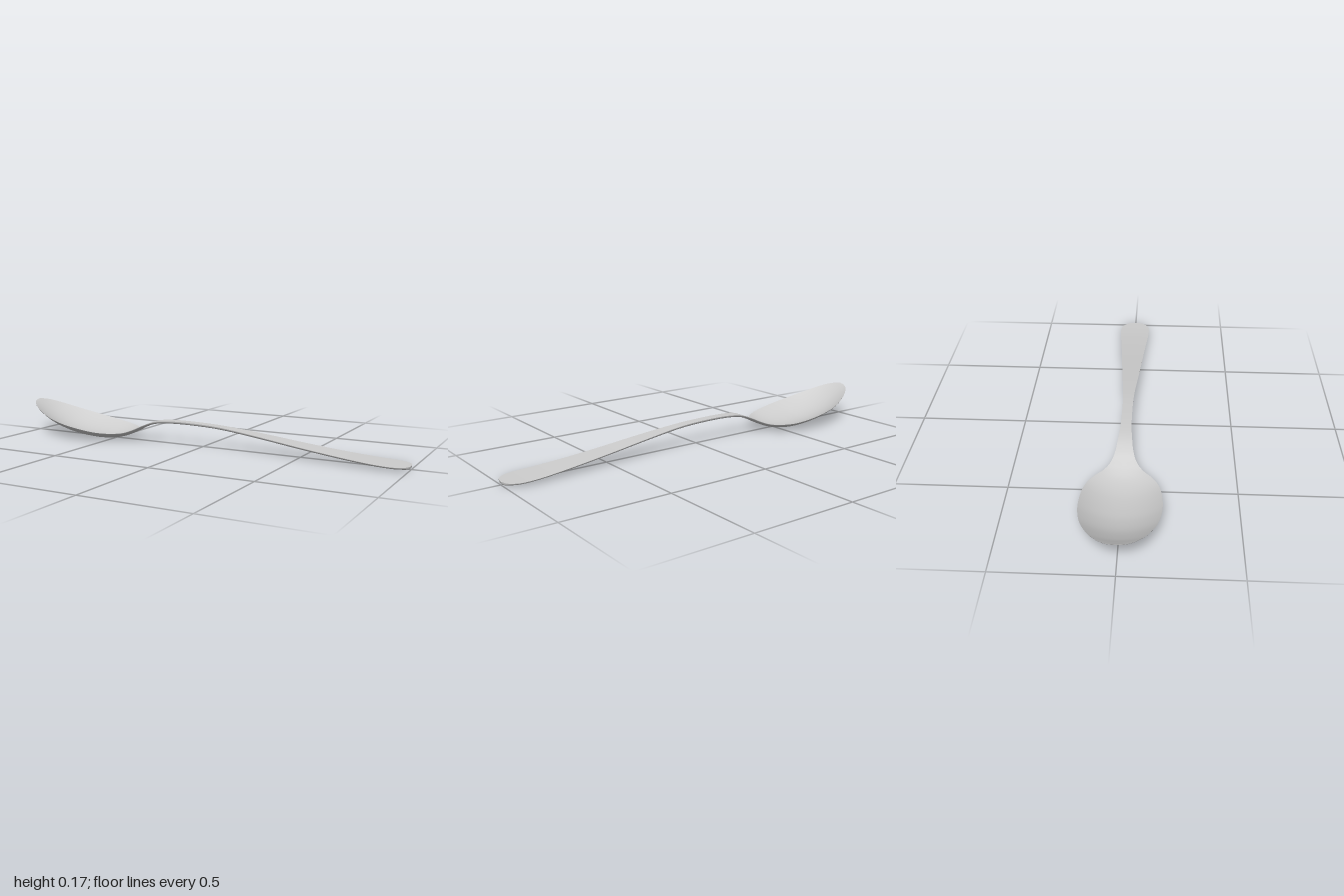
import * as THREE from 'three';

// Stations along the spoon: x, half width, rim height, centre height, thickness
const stations = [
  [-1.0, 0.0, 0.166, 0.166, 0.0],
  [-0.99, 0.038, 0.161, 0.16, 0.004],
  [-0.96, 0.077, 0.149, 0.139, 0.006],
  [-0.9, 0.118, 0.126, 0.099, 0.007],
  [-0.81, 0.155, 0.098, 0.053, 0.008],
  [-0.72, 0.172, 0.078, 0.025, 0.008],
  [-0.64, 0.175, 0.064, 0.013, 0.008],
  [-0.56, 0.168, 0.052, 0.008, 0.008],
  [-0.5, 0.152, 0.045, 0.011, 0.008],
  [-0.45, 0.122, 0.042, 0.02, 0.008],
  [-0.41, 0.086, 0.043, 0.035, 0.008],
  [-0.37, 0.057, 0.057, 0.055, 0.009],
  [-0.32, 0.04, 0.081, 0.081, 0.01],
  [-0.26, 0.032, 0.103, 0.103, 0.012],
  [-0.18, 0.026, 0.112, 0.112, 0.013],
  [-0.06, 0.024, 0.113, 0.113, 0.013],
  [0.1, 0.027, 0.106, 0.106, 0.013],
  [0.3, 0.041, 0.084, 0.084, 0.013],
  [0.5, 0.054, 0.058, 0.058, 0.013],
  [0.68, 0.066, 0.037, 0.037, 0.013],
  [0.82, 0.077, 0.024, 0.024, 0.013],
  [0.9, 0.08, 0.019, 0.019, 0.013],
  [0.95, 0.073, 0.017, 0.017, 0.013],
  [0.985, 0.049, 0.016, 0.016, 0.013],
  [0.996, 0.026, 0.016, 0.016, 0.012],
  [1.0, 0.0, 0.015, 0.015, 0.0],
];

const spline = (columns) => new THREE.CatmullRomCurve3(
  stations.map((s) => new THREE.Vector3(...columns.map((c) => s[c]))), false, 'catmullrom', 0.5);
const outline = spline([0, 1, 2]);
const section = spline([0, 3, 4]);

const LENGTH_STEPS = (stations.length - 1) * 6;
const WIDTH_STEPS = 32;

// One skin of the spoon: dished across the width, the underside rounding up to the rim
function skin(underside) {
  const positions = [];
  const indices = [];
  for (let i = 0; i <= LENGTH_STEPS; i++) {
    const a = outline.getPoint(i / LENGTH_STEPS);
    const b = section.getPoint(i / LENGTH_STEPS);
    const width = Math.max(a.y, 0);
    const thickness = Math.max(b.z, 0);
    for (let j = 0; j <= WIDTH_STEPS; j++) {
      const s = Math.sin((j / WIDTH_STEPS - 0.5) * Math.PI);
      let y = b.y + (a.z - b.y) * s * s;
      if (underside) y -= thickness * Math.sqrt(Math.max(0, 1 - s ** 4));
      positions.push(a.x, y, width * s);
    }
  }
  const row = WIDTH_STEPS + 1;
  for (let i = 0; i < LENGTH_STEPS; i++) {
    for (let j = 0; j < WIDTH_STEPS; j++) {
      const a = i * row + j, b = a + 1, c = a + row, d = c + 1;
      if (underside) indices.push(a, c, b, b, c, d);
      else indices.push(a, b, c, b, d, c);
    }
  }
  const geometry = new THREE.BufferGeometry();
  geometry.setAttribute('position', new THREE.Float32BufferAttribute(positions, 3));
  geometry.setIndex(indices);
  geometry.computeVertexNormals();
  return geometry;
}

export function createModel() {
  const steel = new THREE.MeshStandardMaterial({ color: 0xcccccc });
  steel.name = 'steel';

  const spoon = new THREE.Group();
  spoon.name = 'spoon';

  // Upper face and underside meet in a crisp edge around the outline
  for (const [name, underside] of [['upperFace', false], ['underside', true]]) {
    const mesh = new THREE.Mesh(skin(underside), steel);
    mesh.name = name;
    spoon.add(mesh);
  }
  return spoon;
}
